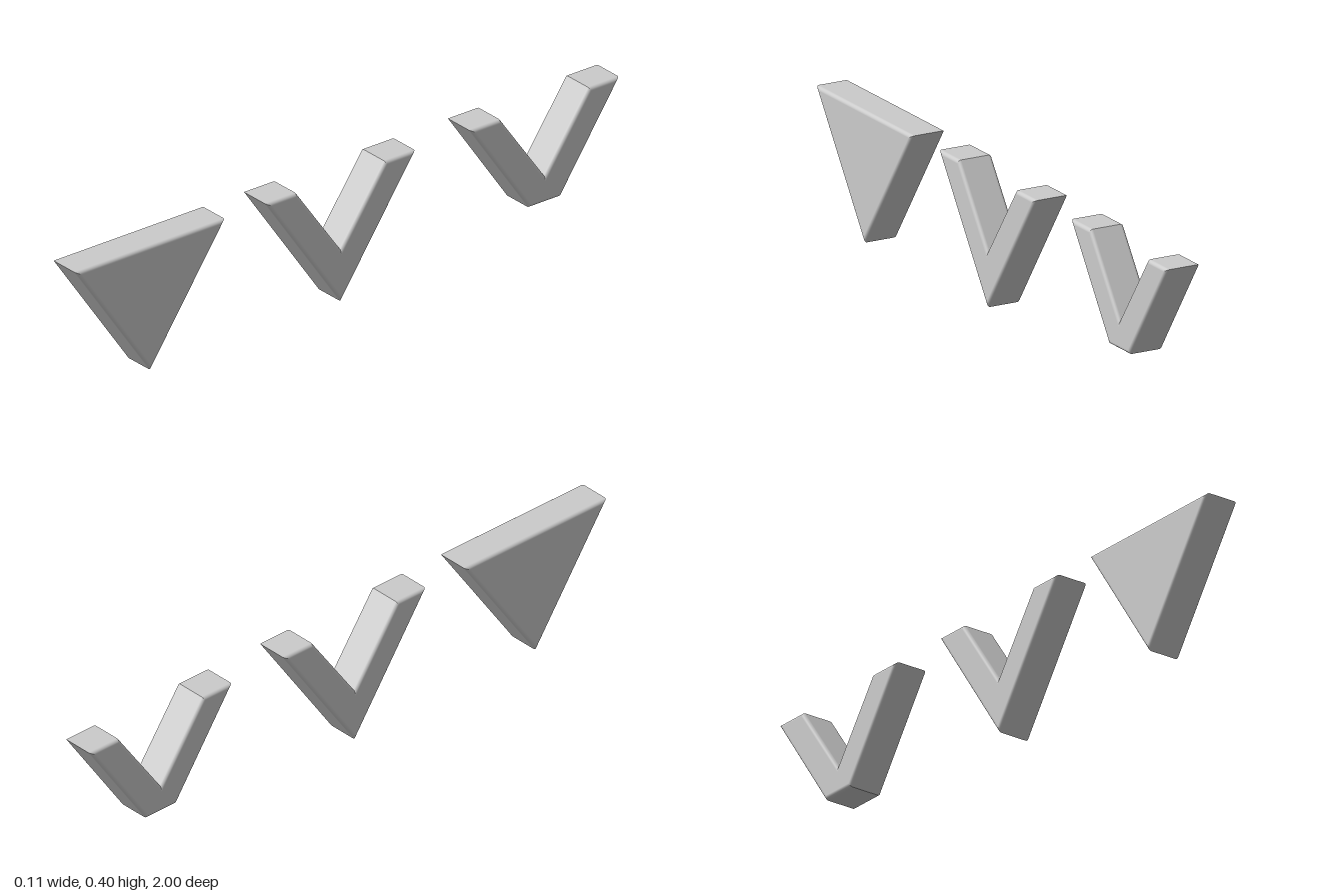
import * as THREE from 'three';

const HEIGHT = 0.397;      // top edge of every marker
const HALF_WIDTH = 0.056;  // half thickness along x
const ROUND = 0.011;       // radius of the rounded side edges
const STEPS = 6;

// Plate with a sharp outline (counter-clockwise in -z, y) and rounded side edges
function roundedPlate(outline) {
  const pts = outline.map(([u, v]) => new THREE.Vector2(u, v));
  const count = pts.length;
  const edgeNormals = pts.map((p, k) => {
    const e = pts[(k + 1) % count].clone().sub(p).normalize();
    return new THREE.Vector2(e.y, -e.x);
  });
  const miters = pts.map((p, k) => {
    const a = edgeNormals[(k + count - 1) % count], b = edgeNormals[k];
    return a.clone().add(b).divideScalar(1 + a.dot(b));
  });

  // Cross-sections from -x to +x, each inset along the rounding arc
  const rings = [];
  for (const side of [-1, 1]) {
    for (let i = 0; i <= STEPS; i++) {
      const t = (side < 0 ? STEPS - i : i) / STEPS;
      const angle = side * t * Math.PI / 2;
      const inset = ROUND * (1 - Math.cos(angle));
      rings.push({
        angle,
        x: side * (HALF_WIDTH - ROUND) + ROUND * Math.sin(angle),
        points: pts.map((p, k) => p.clone().addScaledVector(miters[k], -inset)),
      });
    }
  }

  const positions = [], normals = [];
  const add = (ring, k, nx, nu, nv) => {
    const p = ring.points[k];
    positions.push(ring.x, p.y, -p.x);
    normals.push(nx, nv, -nu);
  };

  // Rim: smooth across the rounding, sharp at the outline corners
  for (let i = 0; i < rings.length - 1; i++) {
    const a = rings[i], b = rings[i + 1];
    for (let k = 0; k < count; k++) {
      const next = (k + 1) % count, n = edgeNormals[k];
      for (const [ring, j] of [[a, k], [a, next], [b, next], [a, k], [b, next], [b, k]]) {
        const c = Math.cos(ring.angle);
        add(ring, j, Math.sin(ring.angle), n.x * c, n.y * c);
      }
    }
  }

  // Flat side faces
  const first = rings[0], last = rings[rings.length - 1];
  for (const [a, b, c] of THREE.ShapeUtils.triangulateShape(last.points, [])) {
    for (const k of [a, b, c]) add(last, k, 1, 0, 0);
    for (const k of [c, b, a]) add(first, k, -1, 0, 0);
  }

  const geometry = new THREE.BufferGeometry();
  geometry.setAttribute('position', new THREE.Float32BufferAttribute(positions, 3));
  geometry.setAttribute('normal', new THREE.Float32BufferAttribute(normals, 3));
  return geometry;
}

export function createModel() {
  const group = new THREE.Group();
  const material = new THREE.MeshStandardMaterial({ color: 0xcccccc });

  // Shared upper part of both chevrons, including the notch
  const arms = [[0.275, HEIGHT], [0.163, HEIGHT], [0, 0.167], [-0.163, HEIGHT], [-0.275, HEIGHT]];
  const parts = [
    ['solidTriangle', 0.725, [[0, 0], [0.275, HEIGHT], [-0.275, HEIGHT]]],
    ['pointedChevron', 0.025, [[0, 0], ...arms]],
    ['bluntChevron', -0.725, [[-0.058, 0.083], [0.058, 0.083], ...arms]],
  ];

  for (const [name, z, outline] of parts) {
    const mesh = new THREE.Mesh(roundedPlate(outline), material);
    mesh.name = name;
    mesh.position.z = z;
    group.add(mesh);
  }
  return group;
}
